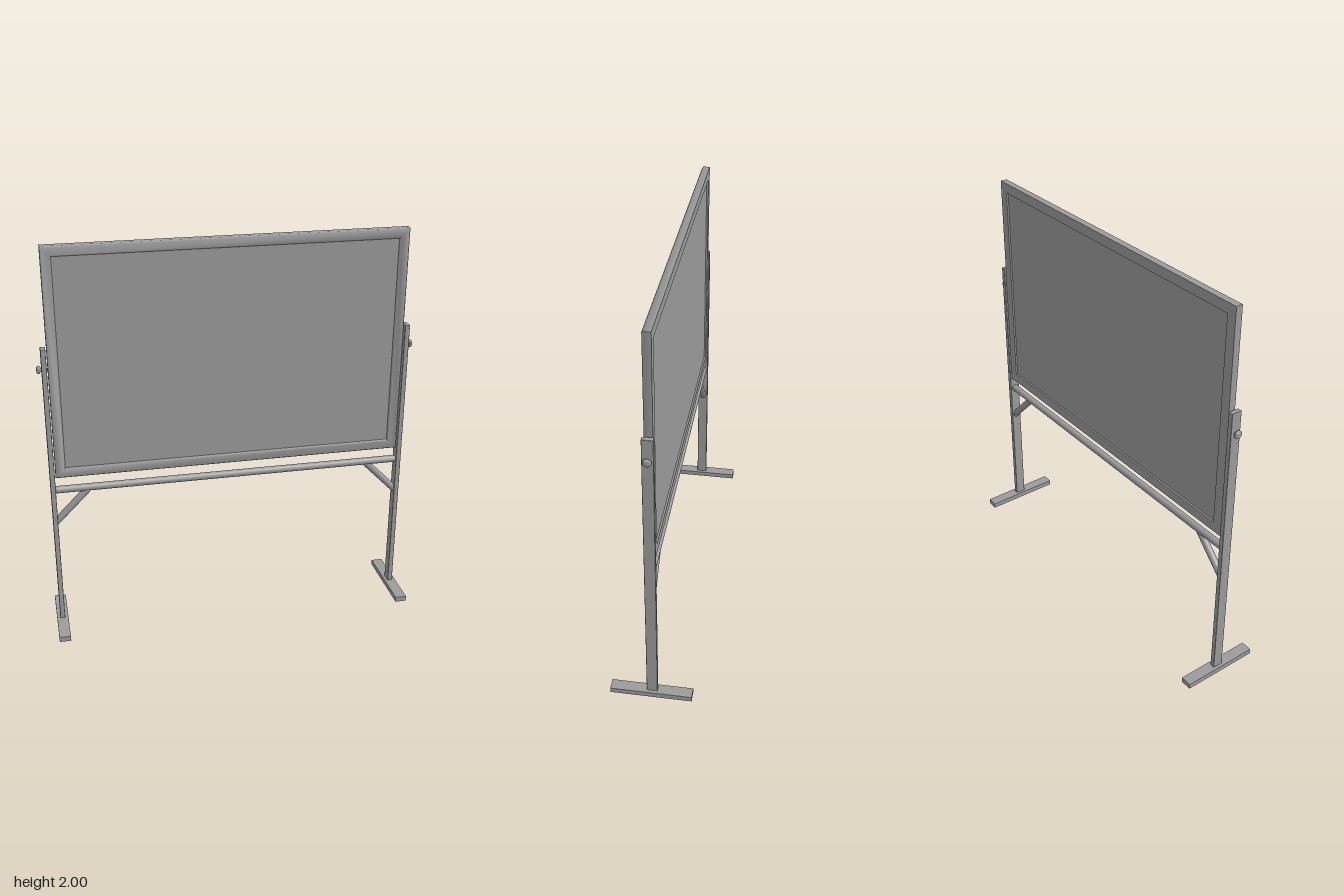
import * as THREE from 'three';
import { mergeGeometries, toCreasedNormals } from 'three/addons/utils/BufferGeometryUtils.js';
import { RoundedBoxGeometry } from 'three/addons/geometries/RoundedBoxGeometry.js';

const Z = -0.004; // middle plane of the board and posts
const grey = new THREE.MeshStandardMaterial({ color: 0x9b9b9b });

function add(parent, name, geometry, x = 0, y = 0, z = 0) {
  const mesh = new THREE.Mesh(geometry, grey);
  mesh.name = name;
  mesh.position.set(x, y, z);
  parent.add(mesh);
  return mesh;
}

// Mitred rectangular frame: sweeps a closed profile of [inset, z] round four corners
function frameGeometry(halfW, halfH, profile) {
  const corners = [[1, 1], [-1, 1], [-1, -1], [1, -1]];
  const point = (i, k) => {
    const [sx, sy] = corners[i % 4];
    const [inset, z] = profile[k % profile.length];
    return [sx * (halfW - inset), sy * (halfH - inset), z];
  };
  const positions = [];
  for (let i = 0; i < 4; i++) {
    for (let k = 0; k < profile.length; k++) {
      const a = point(i, k), b = point(i + 1, k), c = point(i + 1, k + 1), d = point(i, k + 1);
      positions.push(...a, ...b, ...c, ...a, ...c, ...d);
    }
  }
  const geometry = new THREE.BufferGeometry();
  geometry.setAttribute('position', new THREE.Float32BufferAttribute(positions, 3));
  return toCreasedNormals(geometry, 0.9);
}

// Diagonal round brace, cut upright at the post and level at the rail
function braceGeometry(side) {
  const start = new THREE.Vector3(side * 0.892, 0.59, Z);
  const end = new THREE.Vector3(side * 0.729, 0.755, Z);
  const dir = end.clone().sub(start).normalize();
  const geometry = new THREE.CylinderGeometry(0.018, 0.018, 1, 20);
  const turn = new THREE.Quaternion().setFromUnitVectors(new THREE.Vector3(0, 1, 0), dir);
  const pos = geometry.attributes.position;
  const v = new THREE.Vector3();
  for (let i = 0; i < pos.count; i++) {
    const top = pos.getY(i) > 0;
    v.set(pos.getX(i), 0, pos.getZ(i)).applyQuaternion(turn);
    v.addScaledVector(dir, top ? -v.y / dir.y : -v.x / dir.x).add(top ? end : start);
    pos.setXYZ(i, v.x, v.y, v.z);
  }
  return toCreasedNormals(geometry, 0.6);
}

// Foot: a shallow box with closed ends, open underneath
function footGeometry() {
  const w = 0.058, h = 0.027, l = 0.4, t = 0.005;
  const wall = (sx, sy, sz, x, y, z) => new THREE.BoxGeometry(sx, sy, sz).translate(x, y, z);
  const parts = [wall(w, t, l, 0, h - t / 2, 0)];
  for (const s of [1, -1]) {
    parts.push(wall(t, h - t, l, s * (w - t) / 2, (h - t) / 2, 0));
    parts.push(wall(w - 2 * t, h - t, t, 0, (h - t) / 2, s * (l - t) / 2));
  }
  return mergeGeometries(parts);
}

// Clamping knob: a neck flaring into a low domed head, its axis along y
function knobGeometry() {
  const points = [[0, 0], [0.009, 0], [0.011, 0.006], [0.018, 0.01], [0.02, 0.014],
    [0.019, 0.019], [0.014, 0.024], [0.007, 0.026], [0, 0.027]];
  const lathe = new THREE.LatheGeometry(points.map(([x, y]) => new THREE.Vector2(x, y)), 24);
  return toCreasedNormals(lathe, 0.9);
}

export function createModel() {
  const model = new THREE.Group();
  model.name = 'mobileBoard';

  // Board: a panel recessed on both sides of a frame with softened front edges
  const board = new THREE.Group();
  board.name = 'board';
  board.position.y = 1.4175;
  model.add(board);
  const profile = [[0, -0.024], [0, 0.01], [0.006, 0.016], [0.044, 0.016], [0.05, 0.01], [0.05, -0.024]];
  add(board, 'boardFrame', frameGeometry(0.884, 0.5825, profile));
  add(board, 'boardPanel', new THREE.BoxGeometry(1.68, 1.077, 0.019), 0, 0, -0.0055);

  // Stand: rail between the posts
  const rail = add(model, 'crossRail', new THREE.CylinderGeometry(0.0185, 0.0185, 1.784, 24), 0, 0.764, Z);
  rail.rotation.z = Math.PI / 2;

  for (const side of [1, -1]) {
    const prefix = side > 0 ? 'left' : 'right';
    add(model, prefix + 'Post', new RoundedBoxGeometry(0.025, 1.485, 0.053, 2, 0.003), side * 0.901, 0.7675, Z);
    add(model, prefix + 'Foot', footGeometry(), side * 0.901, 0, 0);
    add(model, prefix + 'Brace', braceGeometry(side));

    // Pivot pin through the post, and its knob outside
    const pin = add(model, prefix + 'PivotPin', new THREE.CylinderGeometry(0.007, 0.007, 0.04, 16), side * 0.897, 1.405, Z);
    pin.rotation.z = Math.PI / 2;
    const knob = add(model, prefix + 'Knob', knobGeometry(), side * 0.912, 1.405, Z);
    knob.rotation.z = -side * Math.PI / 2;
  }
  return model;
}
